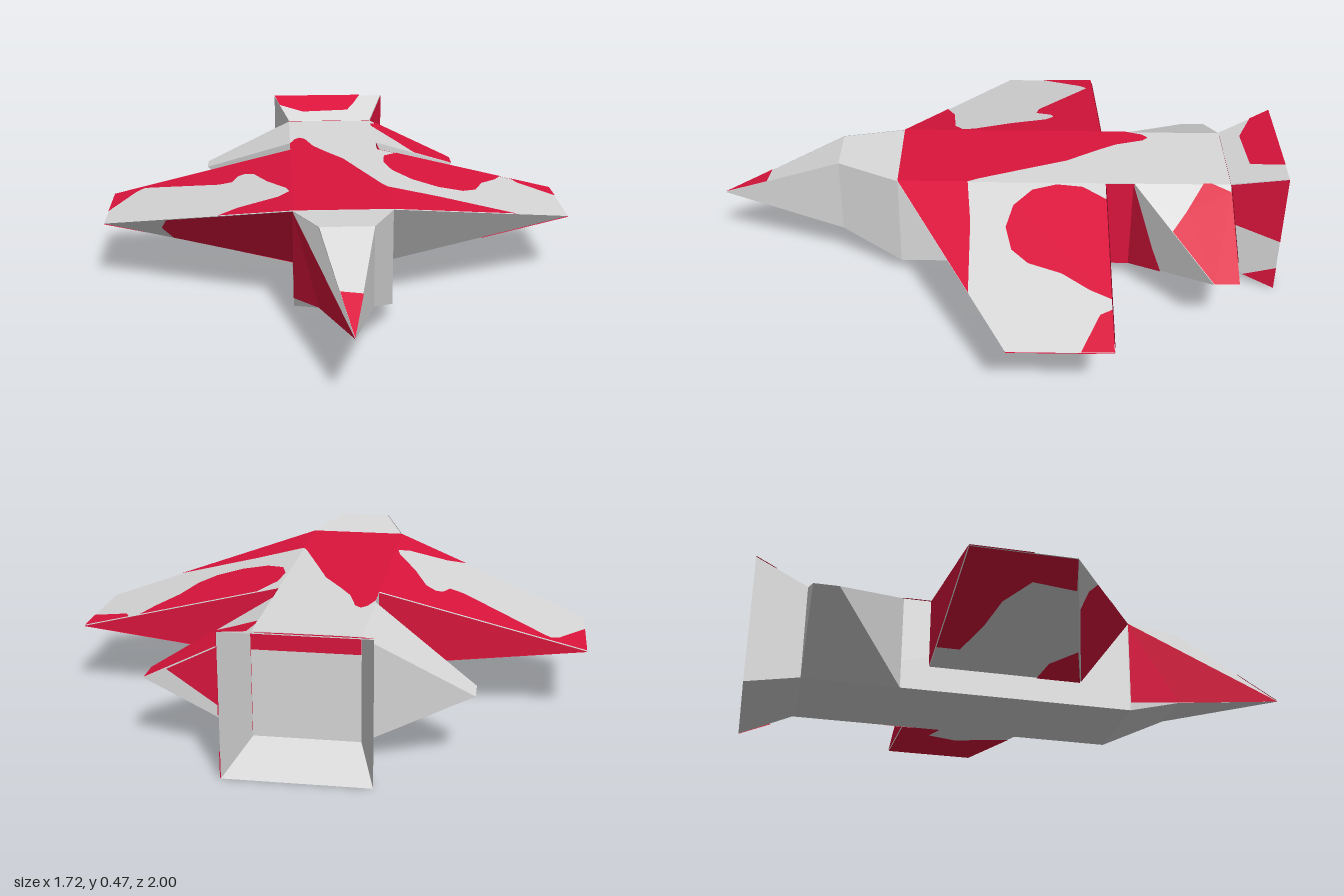
import * as THREE from 'three';
import { ConvexGeometry } from 'three/addons/geometries/ConvexGeometry.js';

const V = (x, y, z) => new THREE.Vector3(x, y, z);

export function createModel() {
  const model = new THREE.Group();
  const grey = new THREE.MeshStandardMaterial({ color: 0xd9d9d9, side: THREE.DoubleSide });
  grey.name = 'hull grey';
  const red = new THREE.MeshStandardMaterial({ color: 0xdc143c, side: THREE.DoubleSide });
  red.name = 'camouflage red';

  const add = (name, geometry, material) => {
    const mesh = new THREE.Mesh(geometry, material);
    mesh.name = name;
    model.add(mesh);
    return mesh;
  };
  // Flat-faced solid around a handful of corners
  const hull = (name, pts) => add(name, new ConvexGeometry(pts.map((p) => V(...p))), grey);
  // Thin painted patch: a 2D outline laid onto a face by a mapping rule
  const patch = (name, outline, map) => {
    const shape = new THREE.Shape(outline.map(([a, b]) => new THREE.Vector2(a, b)));
    const geo = new THREE.ShapeGeometry(shape);
    const p = geo.attributes.position;
    for (let i = 0; i < p.count; i++) p.setXYZ(i, ...map(p.getX(i), p.getY(i)));
    // turn the patch so that it faces away from the hull's axis
    const flat = geo.toNonIndexed();
    flat.computeVertexNormals();
    add(name, flat, red);
  };
  const rect = (w, bottom, top, z) =>
    [[-w, bottom, z], [w, bottom, z], [w, top, z], [-w, top, z]];

  // Fuselage and nose
  const root = rect(0.17, 0.06, 0.405, 0.345);
  const mid = rect(0.09, 0.145, 0.425, 0.56);
  hull('fuselage', [...root, ...rect(0.17, 0.06, 0.405, -0.815)]);
  hull('noseBase', [...root, ...mid]);
  hull('noseTip', [...mid, [0, 0.235, 1]]);

  // Wings and tailplanes
  for (const s of [1, -1]) {
    const side = s > 0 ? 'left' : 'right';
    hull(side + 'Wing', [
      [s * 0.17, 0.405, 0.345], [s * 0.17, 0.405, -0.38],
      [s * 0.17, 0.15, 0.16], [s * 0.17, 0.15, -0.38],
      [s * 0.86, 0.235, -0.04], [s * 0.86, 0.235, -0.38]]);
    hull(side + 'Tailplane', [
      [s * 0.17, 0.405, -0.48], [s * 0.17, 0.06, -0.48],
      [s * 0.17, 0.405, -0.815], [s * 0.17, 0.06, -0.815],
      [s * 0.515, 0.235, -0.73], [s * 0.515, 0.235, -0.815]]);
    // Painted rear face of the wing
    patch(side + 'WingRearPaint', [[s * 0.17, 0.15], [s * 0.86, 0.235], [s * 0.17, 0.405]],
      (x, y) => [x, y, -0.383]);
  }

  // Open flared nozzle
  let nozzle = new THREE.CylinderGeometry(0.23 * Math.SQRT2, 0.17 * Math.SQRT2, 0.185, 4, 1, true);
  nozzle.rotateY(Math.PI / 4).rotateX(-Math.PI / 2).scale(1, 1.018, 1).translate(0, 0.2345, -0.9075);
  nozzle = nozzle.toNonIndexed();
  nozzle.computeVertexNormals();
  add('nozzle', nozzle, grey);

  // Face mappings, lifted slightly off the surface
  const e = 0.003;
  const deck = (x, z) => [x, 0.405 + e, z];
  const wingTop = (x, z) => [x, 0.405 - (Math.abs(x) - 0.17) * 0.2464 + e, z];
  const wingUnder = (x, z) => [x, 0.15 + (Math.abs(x) - 0.17) * 0.1232 - e, z];
  const tailTop = (x, z) => [x, 0.405 - (x - 0.17) * 0.4928 + e, z];
  const nozzleTop = (x, z) => [x, 0.405 + (-0.815 - z) * 0.346 + e, z];
  const noseTop = (x, z) => [x, 0.235 + (1 - z) * 0.4318 + e, z];
  const nozzleSide = (z, y) => [0.17 + (-0.815 - z) * 0.324 + e, y, z];

  // Upper paint
  patch('deckPaint', [[-0.17, 0.345], [0.17, 0.345], [0.17, 0.1], [0.15, 0.06], [0.08, -0.12],
    [0.03, -0.25], [-0.04, -0.36], [-0.08, -0.43], [-0.11, -0.53], [-0.13, -0.55],
    [-0.15, -0.53], [-0.17, -0.47]], deck);
  patch('rightWingTopPaint', [[-0.17, 0.345], [-0.17, -0.38], [-0.86, -0.38], [-0.86, -0.17],
    [-0.77, -0.33], [-0.74, -0.355], [-0.7, -0.33], [-0.44, -0.155], [-0.39, -0.145],
    [-0.37, -0.2], [-0.345, -0.21], [-0.31, -0.18], [-0.26, -0.05], [-0.19, 0.085],
    [-0.18, 0.13], [-0.22, 0.16], [-0.36, 0.17], [-0.43, 0.2]], wingTop);
  patch('leftWingSpot', [[0.245, -0.38], [0.19, -0.3], [0.18, -0.21], [0.205, -0.125],
    [0.275, -0.06], [0.37, -0.035], [0.465, -0.055], [0.52, -0.11], [0.56, -0.22],
    [0.625, -0.31], [0.66, -0.38]], wingTop);
  patch('leftWingCornerPaint', [[0.7, -0.38], [0.86, -0.38], [0.86, -0.275], [0.72, -0.34]], wingTop);
  patch('leftWingRootPaint', [[0.17, 0.1], [0.35, 0.085], [0.64, 0.083], [0.17, 0.345]], wingTop);
  patch('leftTailplanePaint', [[0.2, -0.815], [0.515, -0.815], [0.515, -0.73], [0.34, -0.603],
    [0.27, -0.655], [0.17, -0.72], [0.17, -0.75]], tailTop);
  patch('nozzleTopPaint', [[-0.23, -1], [-0.208, -0.93], [-0.11, -0.88], [0.08, -0.89],
    [0.11, -0.94], [0.14, -1]], nozzleTop);
  patch('noseTipPaint', [[-0.036, 0.825], [0.036, 0.835], [0, 1]], noseTop);

  // Side and rear paint
  patch('leftFuselagePaint', [[-0.38, 0.06], [-0.48, 0.06], [-0.48, 0.405], [-0.38, 0.405]],
    (z, y) => [0.17 + e, y, z]);
  patch('leftTailplaneFrontPaint', [[-0.48, 0.06], [-0.48, 0.405], [-0.55, 0.2], [-0.58, 0.13]],
    (z, y) => [0.17 + (-0.48 - z) * 1.38 + e, y, z + e]);
  patch('leftTailplaneRearPaint', [[0.17, 0.08], [0.17, 0.405], [0.44, 0.27]],
    (x, y) => [x, y, -0.818]);
  patch('leftNozzleUpperPaint', [[-0.815, 0.25], [-0.815, 0.405], [-1, 0.469], [-1, 0.205]], nozzleSide);
  patch('leftNozzleLowerPaint', [[-1, 0.09], [-0.89, 0.034], [-1, 0]], nozzleSide);
  patch('nozzleCapPaint', [[-0.17, 0.35], [0.17, 0.35], [0.17, 0.405], [-0.17, 0.405]],
    (x, y) => [x, y, -0.819]);

  // Lower and front wing paint
  patch('leftWingUnderPaint', [[0.86, -0.04], [0.86, -0.38], [0.17, -0.38], [0.17, -0.14],
    [0.25, -0.17], [0.56, -0.26], [0.6, -0.15], [0.52, 0.057]], wingUnder);
  patch('rightWingUnderPaint', [[-0.3, -0.38], [-0.86, -0.38], [-0.86, -0.04], [-0.7, 0],
    [-0.72, -0.15], [-0.6, -0.22], [-0.45, -0.25], [-0.3, -0.3]], wingUnder);
  patch('rightWingRootUnderPaint', [[-0.17, 0.16], [-0.36, 0.1], [-0.27, 0.02], [-0.17, 0]], wingUnder);
  // Leading face of the wing is a plane through the root corners and the tip
  const lead = new THREE.Plane().setFromCoplanarPoints(
    V(-0.17, 0.405, 0.345), V(-0.17, 0.15, 0.16), V(-0.86, 0.235, -0.04));
  patch('rightWingFrontPaint', [[-0.17, 0.405], [-0.62, 0.292], [-0.64, 0.25], [-0.6, 0.205], [-0.17, 0.15]],
    (x, y) => [x, y, -(lead.constant + lead.normal.x * x + lead.normal.y * y) / lead.normal.z + e]);

  // Painted right cheek of the nose, folded along the line from shoulder to tip
  const cheek = (name, material, ...pts) => {
    const geo = new THREE.BufferGeometry().setFromPoints(pts);
    geo.computeVertexNormals();
    add(name, geo, material);
  };
  const shoulder = V(-0.172, 0.405, 0.347), tip = V(0, 0.235, 1.0);
  const brow = V(-0.092, 0.425, 0.56), jaw = V(-0.092, 0.145, 0.56), base = V(-0.172, 0.09, 0.347);
  cheek('noseBrow', grey, shoulder, tip, brow);
  cheek('noseCheekFront', red, shoulder, jaw, tip);
  cheek('noseCheekRear', red, shoulder, base, jaw);

  return model;
}
